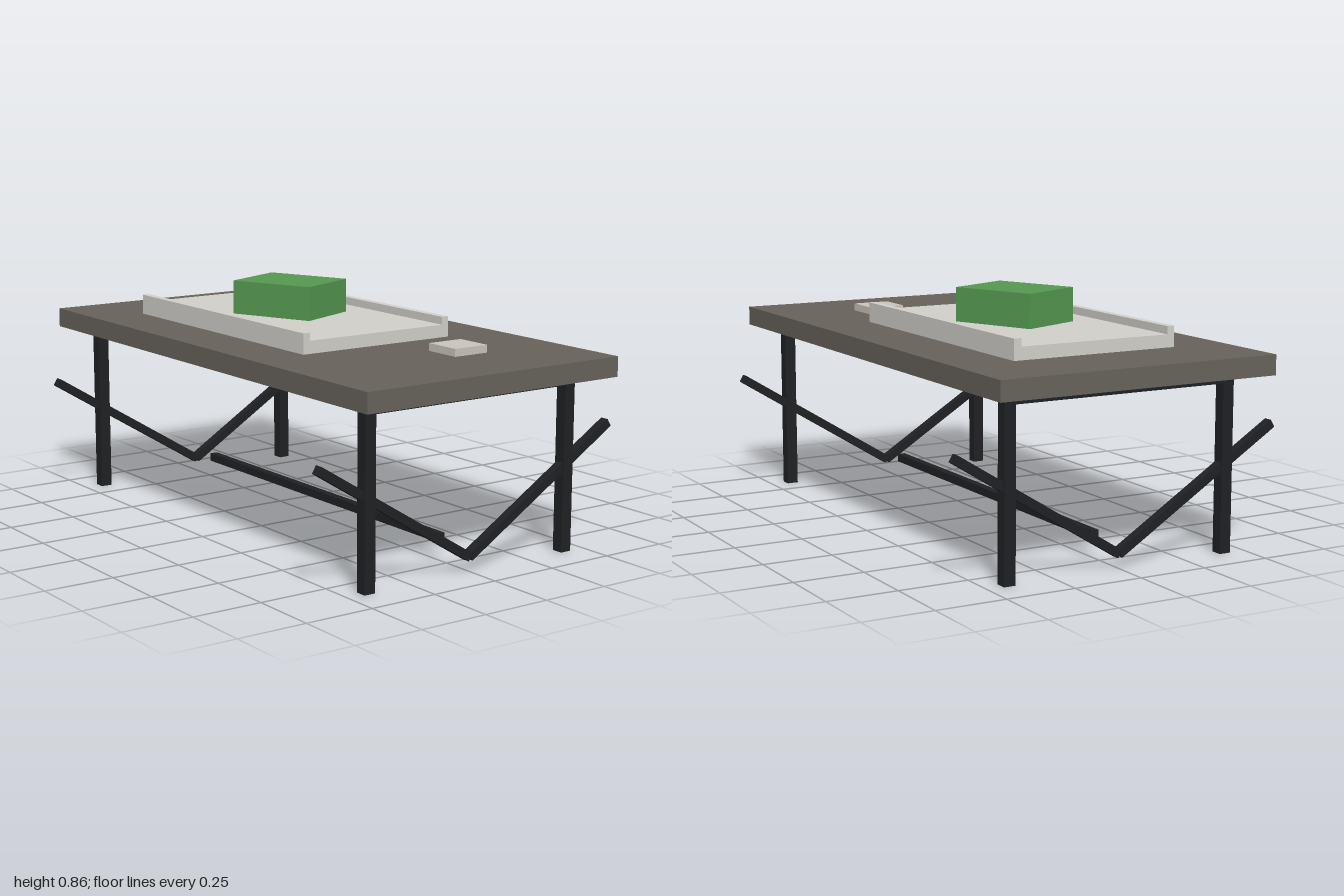
import * as THREE from 'three';

const paint = (color) => new THREE.MeshStandardMaterial({ color });

export function createModel() {
  const model = new THREE.Group();
  model.name = 'table';
  const metal = paint(0x1f2023);
  const wood = paint(0x66615a);
  const pale = paint(0xd0cec8);
  const stone = paint(0xc8c3bb);
  const green = paint(0x549850);

  // Box given by its size and centre
  function box(name, material, size, centre, parent = model) {
    const mesh = new THREE.Mesh(new THREE.BoxGeometry(...size), material);
    mesh.name = name;
    mesh.position.set(...centre);
    parent.add(mesh);
    return mesh;
  }

  // Table top
  box('tableTop', wood, [2, 0.07, 1.046], [0, 0.655, 0]);

  // End frames: two legs, a top rail and two braces meeting in a V
  const braceLow = new THREE.Vector2(0, 0.05);
  const braceHigh = new THREE.Vector2(0.612, 0.43);
  const brace = braceHigh.clone().sub(braceLow);
  for (const side of [-1, 1]) {
    const frame = new THREE.Group();
    frame.name = side > 0 ? 'leftFrame' : 'rightFrame';
    frame.position.x = side * 0.86;
    model.add(frame);
    box('topRail', metal, [0.04, 0.035, 0.8], [0, 0.6025, 0], frame);
    for (const s of [-1, 1]) {
      box(s > 0 ? 'frontLeg' : 'backLeg', metal, [0.042, 0.62, 0.042], [0, 0.31, s * 0.42], frame);
      const bar = box(s > 0 ? 'frontBrace' : 'backBrace', metal, [0.032, 0.03, brace.length()],
        [0, (braceLow.y + braceHigh.y) / 2, s * braceHigh.x / 2], frame);
      bar.rotation.x = -s * brace.angle();
    }
  }

  // Long stretcher
  box('stretcher', metal, [1.44, 0.03, 0.03], [0, 0.082, 0]);

  // Tray with raised front and back lips, extruded along x
  const tray = new THREE.Shape([
    [-0.322, 0], [0.302, 0], [0.302, 0.073], [0.275, 0.073],
    [0.275, 0.045], [-0.295, 0.045], [-0.295, 0.073], [-0.322, 0.073],
  ].map(([u, v]) => new THREE.Vector2(u, v)));
  const trayMesh = new THREE.Mesh(
    new THREE.ExtrudeGeometry(tray, { depth: 1.07, bevelEnabled: false }), pale);
  trayMesh.name = 'tray';
  trayMesh.rotation.y = Math.PI / 2;
  trayMesh.position.set(-0.7, 0.69, 0);
  model.add(trayMesh);

  // Turned block on the tray
  const block = box('block', green, [0.326, 0.122, 0.255], [-0.166, 0.796, 0.009]);
  block.rotation.y = THREE.MathUtils.degToRad(23);

  // Small slab beside the tray
  box('smallSlab', stone, [0.14, 0.027, 0.139], [0.625, 0.7035, -0.139]);

  return model;
}
